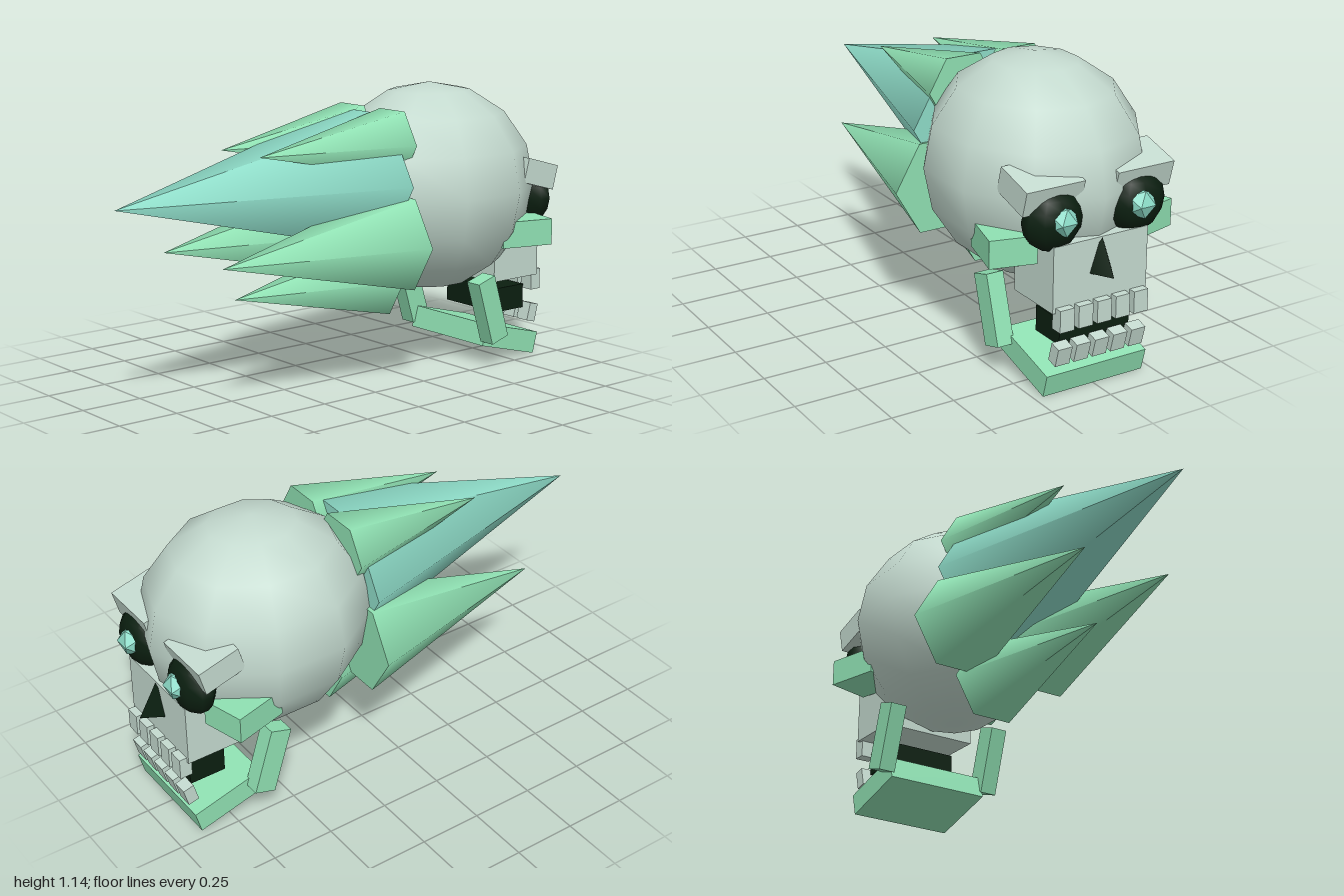
import * as THREE from 'three';

export function createModel() {
  const model = new THREE.Group();
  model.name = 'flamingSkull';

  const mat = (name, color, flatShading = false) => {
    const m = new THREE.MeshStandardMaterial({ color, flatShading });
    m.name = name;
    return m;
  };
  const bone = mat('bone', 0xc4dacf);
  const mint = mat('mint', 0x8fe0b2);
  const aqua = mat('aqua', 0x8edcc8);
  const glow = mat('eyeGlow', 0x8cdcc8, true);
  const dark = mat('darkHollow', 0x0b1f10);

  const add = (name, geometry, material, x, y, z) => {
    const mesh = new THREE.Mesh(geometry, material);
    mesh.name = name;
    mesh.position.set(x, y, z);
    model.add(mesh);
    return mesh;
  };
  const box = (name, material, size, pos, tilt = 0, yaw = 0) => {
    const mesh = add(name, new THREE.BoxGeometry(...size), material, ...pos);
    mesh.rotation.set(0, yaw, tilt);
    return mesh;
  };

  // Cranium
  add('cranium', new THREE.SphereGeometry(1, 10, 8), bone, 0.488, 0.73, 0).scale.set(0.45, 0.42, 0.405);

  // Flames: six-sided cones trailing towards -x, flat side up
  const flame = (name, material, tipX, baseX, y, z, radius) => {
    const length = baseX - tipX;
    const geometry = new THREE.ConeGeometry(radius, length, 6);
    geometry.rotateZ(Math.PI / 2);
    add(name, geometry, material, (tipX + baseX) / 2, y, z);
  };
  flame('mainFlame', aqua, -1, 0.14, 0.795, 0, 0.305);
  flame('lowerFlame', mint, -0.48, 0.215, 0.395, 0, 0.167);

  // Upper jaw, mouth hollow and nose hollow
  box('upperJaw', bone, [0.245, 0.25, 0.4], [0.797, 0.46, 0]);
  box('mouthHollow', dark, [0.15, 0.1, 0.3], [0.815, 0.24, 0]);
  const nose = new THREE.ConeGeometry(0.075, 0.13, 3);
  nose.rotateY(Math.PI / 2);
  add('noseHollow', nose, dark, 0.925, 0.52, 0);

  // Lower jaw
  box('lowerJaw', mint, [0.3, 0.09, 0.43], [0.757, 0.088, 0], -0.26);

  // Two rows of teeth
  for (let i = -2; i <= 2; i++) {
    const z = i * 0.079;
    box('upperTooth', bone, [0.05, 0.085, 0.06], [0.925, 0.3125, z]);
    box('lowerTooth', bone, [0.045, 0.075, 0.06], [0.911, 0.172, z], -0.26);
  }

  // Paired parts
  for (const s of [-1, 1]) {
    flame('sideFlame', mint, -0.67, 0.16, 0.57, s * 0.19, 0.205);
    flame('upperFlame', mint, -0.45, 0.19, 0.945, s * 0.12, 0.145);
    box('jawHinge', mint, [0.09, 0.27, 0.07], [0.602, 0.243, s * 0.24], 0.3);
    box('cheekbone', mint, [0.22, 0.105, 0.176], [0.722, 0.558, s * 0.277], 0, -s * 0.26);
    box('brow', bone, [0.17, 0.1, 0.24], [0.82, 0.78, s * 0.19], -0.27);
    add('eyeSocket', new THREE.SphereGeometry(1, 10, 8), dark, 0.87, 0.67, s * 0.175).scale.set(0.075, 0.115, 0.12);
    add('eyeGlow', new THREE.IcosahedronGeometry(0.06, 0), glow, 0.915, 0.677, s * 0.165);
  }

  return model;
}
